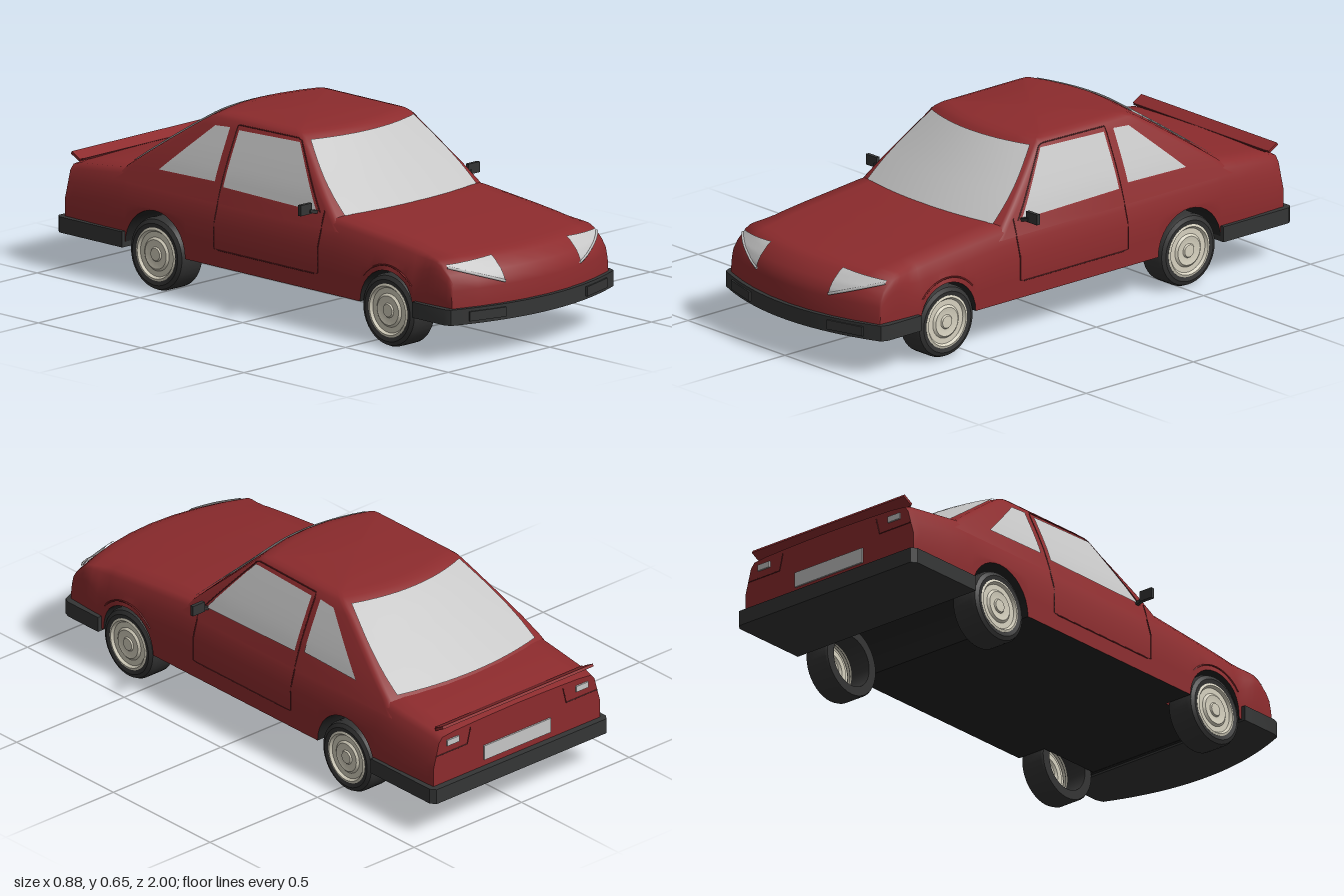
import * as THREE from 'three';
import { toCreasedNormals } from 'three/addons/utils/BufferGeometryUtils.js';

const mat = (name, color, side = THREE.FrontSide) => {
  const m = new THREE.MeshStandardMaterial({ color, side });
  m.name = name;
  return m;
};

// Piecewise linear lookup in [[key, value], ...] with rising or falling keys
function lookup(table, k) {
  const t = table[0][0] < table[table.length - 1][0] ? table : [...table].reverse();
  if (k <= t[0][0]) return t[0][1];
  for (let i = 1; i < t.length; i++) {
    if (k <= t[i][0]) {
      const f = (k - t[i - 1][0]) / (t[i][0] - t[i - 1][0]);
      return t[i - 1][1] + f * (t[i][1] - t[i - 1][1]);
    }
  }
  return t[t.length - 1][1];
}

// Surface through rows of points; faces outward when (along row) x (row to row) points out
function grid(rows, closed = false, crease = 0.85) {
  const n = rows[0].length, idx = [];
  for (let i = 0; i + 1 < rows.length; i++) {
    for (let j = 0; j < (closed ? n : n - 1); j++) {
      const a = i * n + j, b = i * n + (j + 1) % n;
      idx.push(a, b, a + n, b, b + n, a + n);
    }
  }
  const g = new THREE.BufferGeometry();
  g.setAttribute('position', new THREE.Float32BufferAttribute(rows.flat(2), 3));
  g.setIndex(idx);
  return toCreasedNormals(g, crease);
}

// Rows of points from a function of (u, v)
const patch = (f, nu, nv) => grid(Array.from({ length: nv + 1 }, (_, i) =>
  Array.from({ length: nu + 1 }, (_, j) => f(j / nu, i / nv))));

// Body outline: top height and half width along z; the nose face is the steep start of the top
const TOP = [[0.985, 0.15], [0.984, 0.2], [0.98, 0.25], [0.974, 0.276], [0.957, 0.302], [0.92, 0.337],
  [0.893, 0.349], [0.86, 0.354], [0.6, 0.383], [0.33, 0.408], [-0.7, 0.412], [-0.78, 0.401],
  [-0.94, 0.383], [-0.975, 0.372]];
const WIDTH = [[0.985, 0.384], [0.88, 0.391], [0.7, 0.395], [-0.8, 0.395], [-0.975, 0.388]];
const FLOOR = 0.14;
const WHEELS = [{ name: 'front', z: 0.6, arch: 0.133 }, { name: 'rear', z: -0.53, arch: 0.146 }];

// Cabin levels: y, half width, front z, rear z
const CABIN = [[0.36, 0.378, 0.405, -0.81], [0.41, 0.362, 0.355, -0.76], [0.46, 0.345, 0.302, -0.69],
  [0.52, 0.32, 0.237, -0.604], [0.6, 0.284, 0.152, -0.485], [0.63, 0.27, 0.12, -0.437],
  [0.641, 0.257, 0.103, -0.415], [0.647, 0.235, 0.07, -0.38], [0.65, 0, -0.15, -0.15]];
const cabinAt = (y) => [1, 2, 3].map((k) => lookup(CABIN.map((l) => [l[0], l[k]]), y));
const CABIN_BOW = 0.055;
const SIDE = [[0.14, 0.395], [0.295, 0.395], [0.345, 0.38], [0.39, 0.369],
  ...CABIN.slice(1, 6).map((l) => [l[0], l[1]])];

// The nose is curved in plan
const bow = ([x, y, z]) =>
  [x, y, z - 0.085 * THREE.MathUtils.smoothstep(z, 0.68, 0.93) * (x / 0.4) ** 2];

// Shoulders are full at the nose and rounder behind it
const shoulder = (z) => lookup([[0.98, 0.2], [0.91, 0.4], [0.75, 1]], z);

function bodyHalf(z, yb) {
  const h = lookup(TOP, z), w = lookup(WIDTH, z), k = shoulder(z), low = Math.max(yb, h - 0.12 * k);
  const pts = [[w, yb], [w, (yb + low) / 2], [w, low], [w - 0.014 * k, Math.max(yb, h - 0.07 * k)],
    [w - 0.026 * k, h - 0.025 * k], [w - 0.042 * k, h - 0.006 * k], [w - 0.1, h], [0.2, h + 0.003 * k],
    [0.1, h + 0.005 * k], [0, h + 0.006 * k]];
  return pts.map(([x, y]) => [x, y, z]);
}

export function createModel() {
  const car = new THREE.Group();
  car.name = 'car';
  const red = mat('red paint', 0x8c2b2d);
  const seam = mat('dark red seam', 0x5c1d20);
  const glass = mat('pale glass', 0xc6c6c6, THREE.DoubleSide);
  const black = mat('black trim', 0x343535);
  const under = mat('underside black', 0x222222);
  const rubber = mat('tyre rubber', 0x333333, THREE.DoubleSide);
  const rimMat = mat('cream rim', 0xd6d1bf, THREE.DoubleSide);

  const add = (name, geo, material, parent = car) => {
    const m = new THREE.Mesh(geo, material);
    m.name = name;
    parent.add(m);
    return m;
  };
  const box = (name, size, pos, material) => {
    const m = add(name, new THREE.BoxGeometry(...size), material);
    m.position.set(...pos);
    return m;
  };
  const line = (name, pts, material = seam, radius = 0.0022) => {
    const path = new THREE.CurvePath();
    const v = pts.map((p) => new THREE.Vector3(...p));
    for (let i = 1; i < v.length; i++) path.add(new THREE.LineCurve3(v[i - 1], v[i]));
    add(name, new THREE.TubeGeometry(path, 80, radius, 5), material);
  };

  // Body shell: sections from nose to tail, with the arches cut into the lower edge
  const stations = [0.8, 0, ...TOP.map((t) => t[0])];
  for (const { z, arch } of WHEELS) {
    for (let i = 0; i <= 16; i++) stations.push(z + arch * Math.cos((i / 16) * Math.PI));
  }
  const archBottom = (z) => Math.max(...WHEELS.map((w) =>
    FLOOR + Math.sqrt(Math.max(0, w.arch ** 2 - (z - w.z) ** 2))));
  stations.sort((a, b) => b - a);
  const halves = stations.map((z) => bodyHalf(z, archBottom(z)));
  const shell = halves.map((h) => [
    ...h.map(([x, y, z]) => [-x, y, z]), ...h.slice(0, -1).reverse()].map(bow));
  add('bodyShell', grid(shell), red);
  add('underside', grid(shell.map((r) => [r[r.length - 1], r[0]])), under);
  add('tailPanel', grid(halves[halves.length - 1].map(([x, y, z]) => [[x, y, z], [-x, y, z]])), red);

  // Engine bay between the front wheels, dark below
  box('engineBay', [0.56, 0.17, 0.29], [0, 0.226, 0.6], [red, red, red, under, red, red]);

  // Cabin and roof: closed rings stacked upward
  const cabinRing = ([y, w, zf, zr]) => {
    const k = Math.min(1, w / 0.25), b = CABIN_BOW * k;
    const ring = [];
    const S = [-0.96, -0.7, -0.35, 0, 0.35, 0.7, 0.96];
    for (const s of S) ring.push([w * s, y, zf - b * s * s]);
    const flank = [[0.99, zf - b - 0.005 * k], [1, zf - b - 0.025 * k], [1, (zf + zr) / 2],
      [1, zr + b + 0.025 * k], [0.99, zr + b + 0.005 * k]];
    for (const [s, z] of flank) ring.push([w * s, y, z]);
    for (const s of [...S].reverse()) ring.push([w * s, y, zr + b * s * s]);
    for (const [s, z] of [...flank].reverse()) ring.push([-w * s, y, z]);
    return ring;
  };
  add('cabin', grid(CABIN.map(cabinRing), true), red);

  // Windscreen and rear window, with gently bulging side edges
  const screen = (rear, y0, y1) => patch((u, v) => {
    const y = y0 + v * (y1 - y0), [w, zf, zr] = cabinAt(y);
    const s = (2 * u - 1) * (0.89 + 0.035 * v + 0.03 * Math.sin(Math.PI * v)), b = CABIN_BOW * s * s;
    return [(rear ? -1 : 1) * w * s, y + 0.003, rear ? zr + b - 0.005 : zf - b + 0.005];
  }, 16, 10);
  add('windscreen', screen(false, 0.404, 0.622), glass);
  add('rearWindow', screen(true, 0.416, 0.628), glass);

  // Points on the car's side along a (z, y) polyline
  const sideX = (y) => lookup(SIDE, y);
  const sideLine = (d, pts, steps = 12) => {
    const out = [[d * sideX(pts[0][1]), pts[0][1], pts[0][0]]];
    for (let i = 0; i + 1 < pts.length; i++) {
      for (let k = 1; k <= steps; k++) {
        const z = THREE.MathUtils.lerp(pts[i][0], pts[i + 1][0], k / steps);
        const y = THREE.MathUtils.lerp(pts[i][1], pts[i + 1][1], k / steps);
        out.push([d * sideX(y), y, z]);
      }
    }
    return out;
  };
  const sideWindow = (d, [a, b, c, e]) => patch((u, v) => {
    const mix = (k) => (1 - v) * ((1 - u) * a[k] + u * b[k]) + v * ((1 - u) * e[k] + u * c[k]);
    return [d * (sideX(mix(1)) + 0.004), mix(1), mix(0)];
  }, 6, 8);
  const doorGlass = [[0.225, 0.412], [-0.23, 0.418], [-0.23, 0.607], [0.062, 0.616]];
  const quarterGlass = [[-0.275, 0.43], [-0.545, 0.425], [-0.345, 0.605], [-0.275, 0.61]];
  const archLip = Array.from({ length: 13 }, (_, i) => {
    const a = 0.7 + (i / 12) * (Math.PI - 1.4);
    return [0.6 + 0.152 * Math.cos(a), FLOOR + 0.152 * Math.sin(a)];
  });

  // Point on the sloped nose at x, y, raised a little
  const noseSlope = TOP.slice(0, 8).map((t) => [t[1], t[0]]);
  const nosePoint = (x, y) => {
    const z = lookup(noseSlope, y);
    const drop = shoulder(z) * lookup([[0.29, 0], [0.345, 0.006], [0.37, 0.025]], x);
    const p = bow([x, y, z - drop * 0.8]);
    return [p[0], p[1] + 0.004, p[2] + 0.006];
  };
  const lampLow = (u) => 0.26 + 0.062 * u;

  for (const d of [1, -1]) {
    const tag = d > 0 ? 'left' : 'right';
    const flip = ([x, y, z]) => [d * x, y, z];
    add(tag + 'DoorWindow', sideWindow(d, doorGlass), glass);
    add(tag + 'QuarterWindow', sideWindow(d, quarterGlass), glass);
    line(tag + 'DoorSeam', sideLine(d, [[0.26, 0.42], [0.26, 0.2], [-0.245, 0.2], [-0.245, 0.622],
      [0.06, 0.627], [0.24, 0.41]]));
    line(tag + 'ArchLip', sideLine(d, archLip, 1), red, 0.003);
    box(tag + 'MirrorHead', [0.055, 0.038, 0.014], [d * 0.413, 0.427, 0.217], black);
    box(tag + 'MirrorArm', [0.05, 0.012, 0.012], [d * 0.373, 0.413, 0.222], black).rotation.z = d * 0.25;

    // Wedge headlamp lying on the sloped nose, with a bezel below
    add(tag + 'Headlamp', patch((u, v) => {
      const y = (1 - v) * lampLow(u) + v * (0.342 - 0.012 * u);
      return flip(nosePoint(0.185 + 0.182 * u, y));
    }, 10, 8), glass);
    line(tag + 'HeadlampBezel', Array.from({ length: 9 }, (_, i) =>
      flip(nosePoint(0.185 + 0.182 * i / 8, lampLow(i / 8)))), glass, 0.005);

    // Fog lamp panel in the bumper, tail lamp and its surround
    box(tag + 'FogPanel', [0.145, 0.034, 0.008], [d * 0.268, 0.16, 0.9625], black).rotation.y = d * 0.28;
    box(tag + 'TailLamp', [0.055, 0.022, 0.008], [d * 0.3, 0.338, -0.977], glass);
    line(tag + 'TailSeam', [[d * 0.375, 0.3, -0.975], [d * 0.23, 0.3, -0.975], [d * 0.215, 0.36, -0.975]]);
  }
  box('numberPlate', [0.31, 0.055, 0.008], [0, 0.24, -0.977], glass);

  // Tail spoiler: a tilted lip over the boot edge
  box('spoiler', [0.7, 0.01, 0.045], [0, 0.396, -0.962], red).rotation.x = 0.5;
  box('spoilerSeam', [0.68, 0.006, 0.008], [0, 0.387, -0.938], seam);

  // Bumpers: plan outlines extruded upward
  const bumper = (name, plan) => {
    const shape = new THREE.Shape(plan.map(([x, z]) => new THREE.Vector2(x, -z)));
    const g = new THREE.ExtrudeGeometry(shape, { depth: 0.056, bevelEnabled: false });
    g.rotateX(-Math.PI / 2).translate(0, 0.132, 0);
    add(name, toCreasedNormals(g, 0.5), black);
  };
  const frontArc = Array.from({ length: 25 }, (_, i) => {
    const x = 0.4 * (i / 12 - 1);
    return [x, 1 - 0.09 * (x / 0.41) ** 2];
  });
  bumper('frontBumper', [[-0.41, 0.735], [-0.41, 0.89], ...frontArc, [0.41, 0.89], [0.41, 0.735]]);
  bumper('rearBumper', [[-0.41, -0.675], [0.41, -0.675], [0.41, -0.98], [0.395, -1], [-0.395, -1], [-0.41, -0.98]]);

  // Wheels: tyre with a dark barrel and a dished rim, turned about the axle
  const lathe = (pts) => toCreasedNormals(
    new THREE.LatheGeometry(pts.map((p) => new THREE.Vector2(...p)), 40), 0.6);
  const tyreGeo = lathe([[0.093, 0.09], [0.093, 0], [0.126, 0], [0.13, 0.006], [0.13, 0.085], [0.124, 0.098],
    [0.11, 0.105], [0.093, 0.101]]);
  const rimGeo = lathe([[0.092, 0.08], [0.095, 0.102], [0.087, 0.105], [0.08, 0.096],
    [0.06, 0.096], [0.052, 0.103], [0.036, 0.1], [0.026, 0.1], [0.022, 0.105], [0, 0.106]]);
  for (const { name, z } of WHEELS) {
    for (const d of [1, -1]) {
      const wheel = new THREE.Group();
      wheel.name = name + (d > 0 ? 'Left' : 'Right') + 'Wheel';
      add('tyre', tyreGeo, rubber, wheel);
      add('rim', rimGeo, rimMat, wheel);
      wheel.rotation.z = -d * Math.PI / 2;
      wheel.position.set(d * 0.29, 0.13, z);
      car.add(wheel);
    }
  }
  return car;
}
